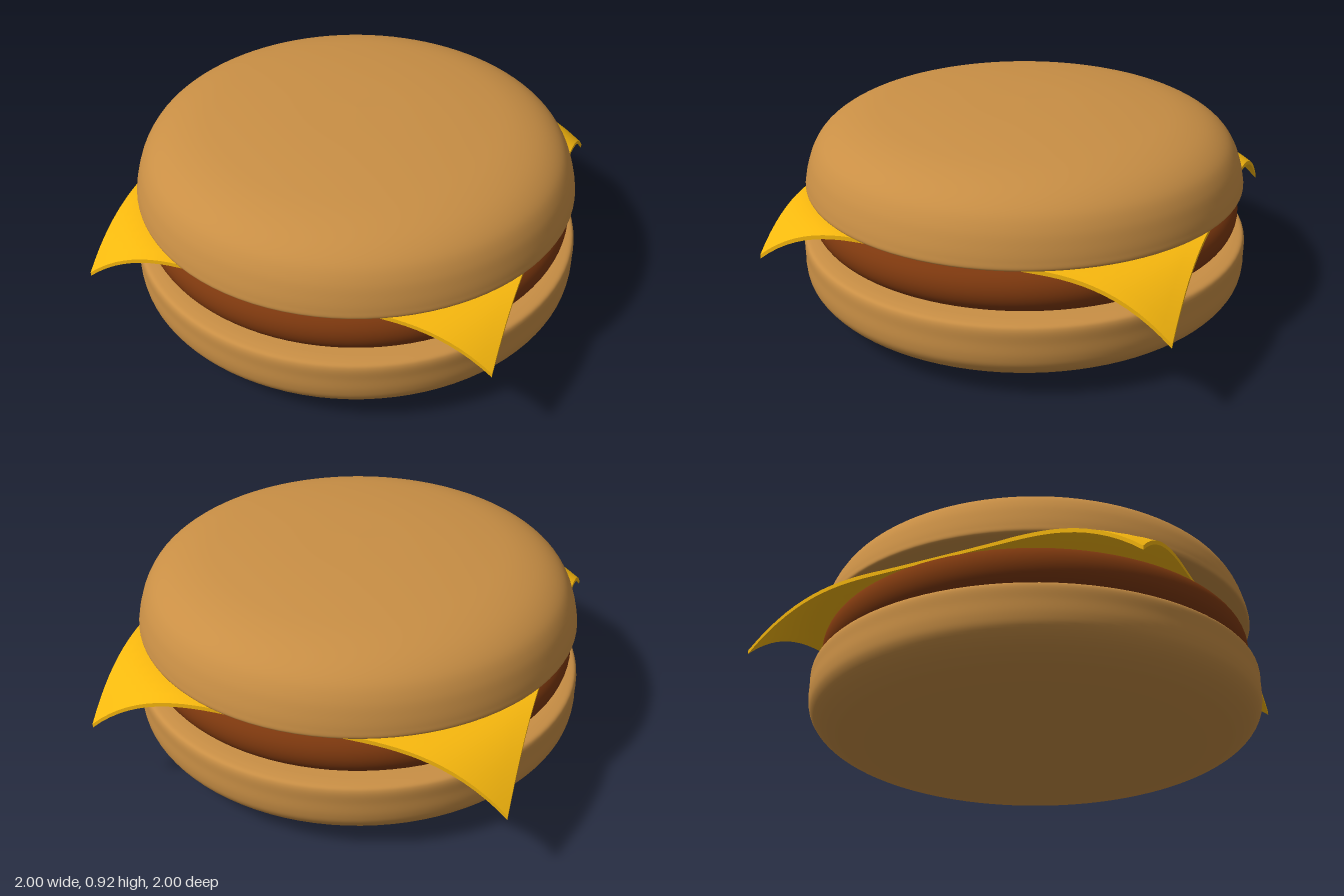
import * as THREE from 'three';

const BUN = 0xc98f45, PATTY = 0x7d380e, CHEESE = 0xf8b80e;

function addMesh(group, name, geometry, color) {
  const mesh = new THREE.Mesh(geometry, new THREE.MeshStandardMaterial({ color }));
  mesh.name = name;
  group.add(mesh);
}

// Round solid turned from a smooth profile, listed from the bottom axis to the top axis
function turned(profile) {
  const points = profile.map(([r, y]) => new THREE.Vector3(r, y, 0));
  const curve = new THREE.CatmullRomCurve3(points, false, 'centripetal');
  const line = curve.getPoints(72).map((p) => new THREE.Vector2(Math.max(p.x, 0), p.y));
  line[0].x = line[line.length - 1].x = 0;
  return new THREE.LatheGeometry(line, 96);
}

// Thin square slice whose corners droop with distance from the centre
function cheeseSlice() {
  const geometry = new THREE.BoxGeometry(1.76, 0.018, 1.76, 40, 1, 40);
  geometry.translate(-0.01, 0.559, -0.03);
  const pos = geometry.attributes.position;
  for (let i = 0; i < pos.count; i++) {
    const x = pos.getX(i), z = pos.getZ(i);
    const over = Math.max(0, Math.hypot(x, z) - 0.95);
    pos.setY(i, pos.getY(i) - 2.2 * over * over);
  }
  geometry.computeVertexNormals();
  return geometry;
}

export function createModel() {
  const group = new THREE.Group();
  group.name = 'burger';

  // Bottom bun: rounded underside, straight wall, nearly flat top
  addMesh(group, 'bottomBun', turned([
    [0, 0.005], [0.3, 0.01], [0.55, 0.023], [0.75, 0.046], [0.88, 0.077], [0.955, 0.12],
    [0.99, 0.165], [1, 0.21], [1, 0.27], [0.999, 0.325], [0.99, 0.343], [0.96, 0.351],
    [0.9, 0.354], [0.5, 0.355], [0, 0.355],
  ]), BUN);

  // Patty: disc with a fully rounded rim
  const rim = [];
  for (let i = 0; i <= 8; i++) {
    const a = -Math.PI / 2 + (Math.PI * i) / 8;
    rim.push([0.87 + 0.09 * Math.cos(a), 0.455 + 0.095 * Math.sin(a)]);
  }
  addMesh(group, 'patty', turned([[0, 0.36], [0.5, 0.36], ...rim, [0.5, 0.55], [0, 0.55]]), PATTY);

  addMesh(group, 'cheese', cheeseSlice(), CHEESE);

  // Top bun: flat base, flared lower lip, domed crown
  addMesh(group, 'topBun', turned([
    [0, 0.562], [0.5, 0.562], [0.85, 0.564], [0.95, 0.569], [0.974, 0.578], [0.972, 0.61],
    [0.96, 0.66], [0.938, 0.72], [0.9, 0.777], [0.83, 0.828], [0.72, 0.868], [0.55, 0.895],
    [0.3, 0.915], [0, 0.922],
  ]), BUN);

  return group;
}
